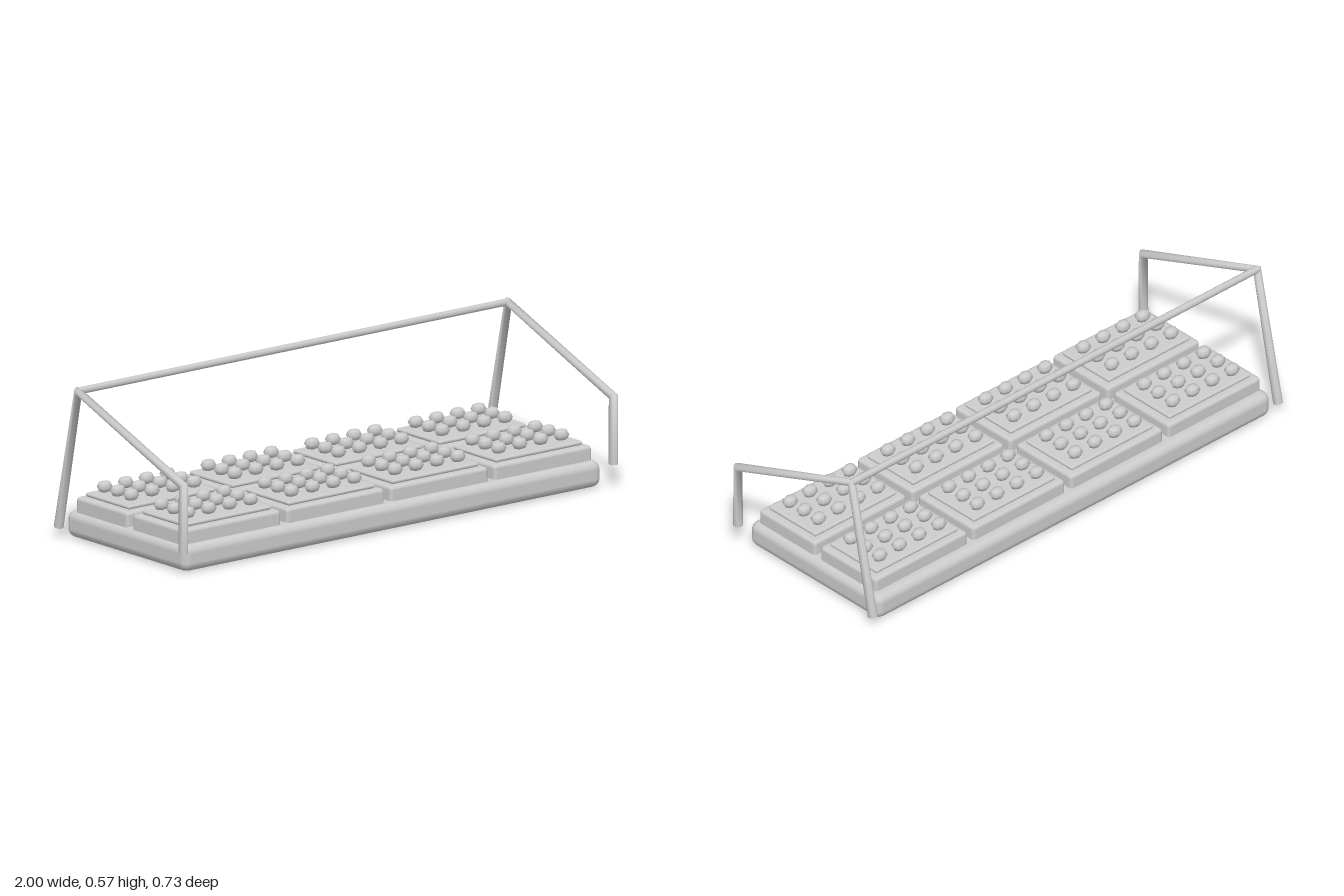
import * as THREE from 'three';
import { RoundedBoxGeometry } from 'three/addons/geometries/RoundedBoxGeometry.js';

const grey = new THREE.MeshStandardMaterial({ color: 0xcccccc });
grey.name = 'light grey';

function add(parent, name, geometry, x = 0, y = 0, z = 0) {
  const mesh = new THREE.Mesh(geometry, grey);
  mesh.name = name;
  mesh.position.set(x, y, z);
  parent.add(mesh);
  return mesh;
}

// Bent pipe: circular rings set across the bisector of each corner, path given as [z, y]
function bentPipe(path, radius, sides) {
  const pts = path.map(([z, y]) => new THREE.Vector2(z, y));
  const pos = [], index = [];
  pts.forEach((p, i) => {
    const dir = new THREE.Vector2();
    if (i > 0) dir.add(p.clone().sub(pts[i - 1]).normalize());
    if (i < pts.length - 1) dir.add(pts[i + 1].clone().sub(p).normalize());
    dir.normalize();
    for (let s = 0; s < sides; s++) {
      const a = (s / sides) * Math.PI * 2;
      const k = Math.sin(a) * radius;
      pos.push(Math.cos(a) * radius, p.y + dir.x * k, p.x - dir.y * k);
      if (i > 0) {
        const t = (s + 1) % sides, a0 = (i - 1) * sides, b0 = i * sides;
        index.push(a0 + s, a0 + t, b0 + s, a0 + t, b0 + t, b0 + s);
      }
    }
  });
  // End caps on their own vertices so their edges stay sharp
  const ringSize = sides * 3;
  const first = pos.slice(0, ringSize), last = pos.slice(-ringSize);
  const c0 = pos.length / 3, c1 = c0 + sides;
  pos.push(...first, ...last);
  for (let s = 1; s < sides - 1; s++) {
    index.push(c0, c0 + s + 1, c0 + s, c1, c1 + s, c1 + s + 1);
  }
  const g = new THREE.BufferGeometry();
  g.setAttribute('position', new THREE.Float32BufferAttribute(pos, 3));
  g.setIndex(index);
  g.computeVertexNormals();
  return g;
}

export function createModel() {
  const model = new THREE.Group();
  model.name = 'buffetStand';

  // Base slab
  add(model, 'base', new RoundedBoxGeometry(1.91, 0.098, 0.675, 2, 0.032), 0, 0.049, -0.0125);

  // Two rows of four trays, each with a 4 x 3 grid of balls
  const blockGeo = new RoundedBoxGeometry(0.447, 0.073, 0.29, 2, 0.014);
  const plateGeo = new RoundedBoxGeometry(0.397, 0.016, 0.243, 2, 0.0078);
  const ballGeo = new THREE.SphereGeometry(1, 8, 4);
  ballGeo.scale(0.032, 0.023, 0.0247);
  for (const z of [0.151, -0.165]) {
    for (let col = 0; col < 4; col++) {
      const tray = new THREE.Group();
      tray.name = 'tray';
      tray.position.set(-0.7145 + col * 0.4737, 0, z);
      model.add(tray);
      add(tray, 'trayBlock', blockGeo, 0, 0.1145, 0);
      add(tray, 'trayPlate', plateGeo, 0, 0.159, 0);
      for (let i = 0; i < 4; i++) {
        for (let j = 0; j < 3; j++) {
          add(tray, 'ball', ballGeo, (i - 1.5) * 0.0957, 0.188, -0.0055 + (j - 1) * 0.0735);
        }
      }
    }
  }

  // Side frames: front post, sloping rail and back post in one pipe
  const frameGeo = bentPipe([[0.348, 0.084], [0.348, 0.331], [-0.241, 0.557], [-0.35, 0.039]], 0.0175, 8);
  for (const side of [-1, 1]) {
    add(model, side > 0 ? 'leftFrame' : 'rightFrame', frameGeo, side * 0.9825, 0, 0);
  }

  // Crossbar joining the frames
  const bar = add(model, 'crossbar', new THREE.CylinderGeometry(0.0135, 0.0135, 1.97, 8), 0, 0.558, -0.242);
  bar.rotation.z = Math.PI / 2;

  return model;
}
